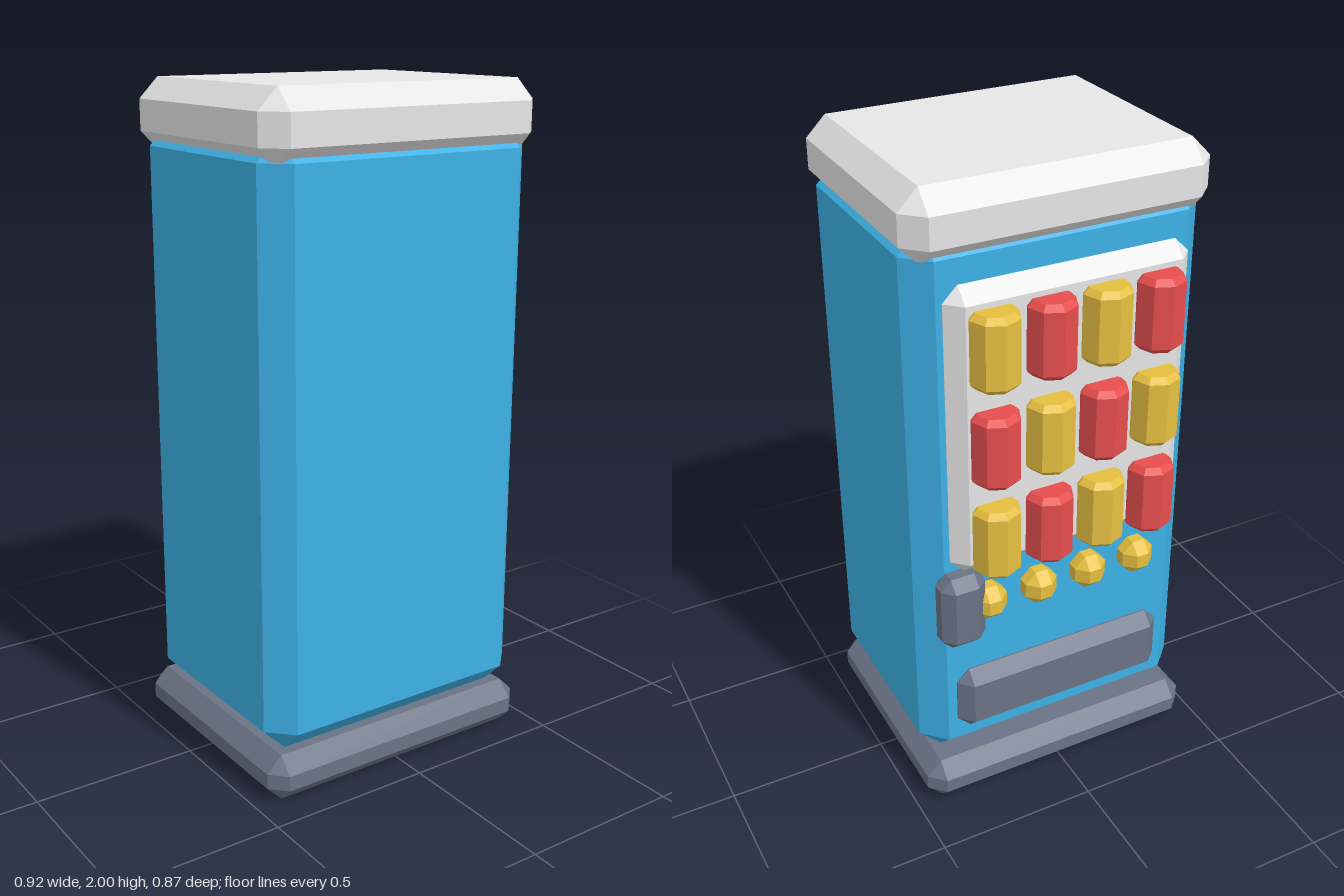
import * as THREE from 'three';
import { ConvexGeometry } from 'three/addons/geometries/ConvexGeometry.js';

const flat = (name, color) => Object.assign(new THREE.MeshStandardMaterial({ color }), { name });

// Box between two corners with every edge chamfered by b
function chamferBox([x0, y0, z0], [x1, y1, z1], b) {
  const c = [(x0 + x1) / 2, (y0 + y1) / 2, (z0 + z1) / 2];
  const h = [(x1 - x0) / 2, (y1 - y0) / 2, (z1 - z0) / 2];
  const points = [];
  for (const sx of [-1, 1]) for (const sy of [-1, 1]) for (const sz of [-1, 1])
    for (let axis = 0; axis < 3; axis++) {
      const p = [sx, sy, sz].map((s, i) => c[i] + s * (h[i] - (i === axis ? 0 : b)));
      points.push(new THREE.Vector3(...p));
    }
  return new ConvexGeometry(points);
}

export function createModel() {
  const model = new THREE.Group();
  model.name = 'vendingMachine';
  const blue = flat('cabinetBlue', 0x3db1e6);
  const pale = flat('paleGrey', 0xe6e6e6);
  const slate = flat('slateGrey', 0x6a7386);
  const red = flat('canRed', 0xe64d4d);
  const yellow = flat('canYellow', 0xe6bf40);

  const add = (name, geometry, material, parent = model) => {
    const mesh = new THREE.Mesh(geometry, material);
    mesh.name = name;
    parent.add(mesh);
    return mesh;
  };

  // Cabinet
  add('base', chamferBox([-0.46, 0, -0.34], [0.46, 0.14, 0.43], 0.047), slate);
  add('cabinet', chamferBox([-0.45, 0.14, -0.29], [0.45, 1.88, 0.42], 0.07), blue);
  add('cap', chamferBox([-0.46, 1.79, -0.315], [0.46, 2, 0.435], 0.06), pale);

  // Fittings on the serving side, which faces -z
  add('displayPanel', chamferBox([-0.37, 0.855, -0.355], [0.37, 1.745, -0.265], 0.044), pale);
  add('coinBox', chamferBox([0.27, 0.605, -0.363], [0.41, 0.85, -0.26], 0.033), slate);
  add('pickupTray', chamferBox([-0.35, 0.25, -0.335], [0.35, 0.47, -0.25], 0.04), slate);

  // Eight-sided can with bevelled rims
  const canProfile = [[0, -0.11], [0.055, -0.11], [0.072, -0.093], [0.072, 0.093], [0.055, 0.11], [0, 0.11]];
  const canGeometry = new THREE.LatheGeometry(canProfile.map(p => new THREE.Vector2(...p)), 8).toNonIndexed();
  canGeometry.computeVertexNormals();
  const buttonGeometry = chamferBox([-0.052, -0.055, -0.05], [0.052, 0.055, 0.05], 0.033);

  // Cans in alternating colours, with one button under each column
  const cans = new THREE.Group();
  cans.name = 'cans';
  const buttons = new THREE.Group();
  buttons.name = 'buttons';
  model.add(cans, buttons);
  for (let col = 0; col < 4; col++) {
    const x = 0.25 - col / 6;
    for (let row = 0; row < 3; row++) {
      const can = add('can', canGeometry, (row + col) % 2 ? red : yellow, cans);
      can.position.set(x, 1.575 - row * 0.295, -0.365);
    }
    add('button', buttonGeometry, yellow, buttons).position.set(x, 0.725, -0.31);
  }
  return model;
}
